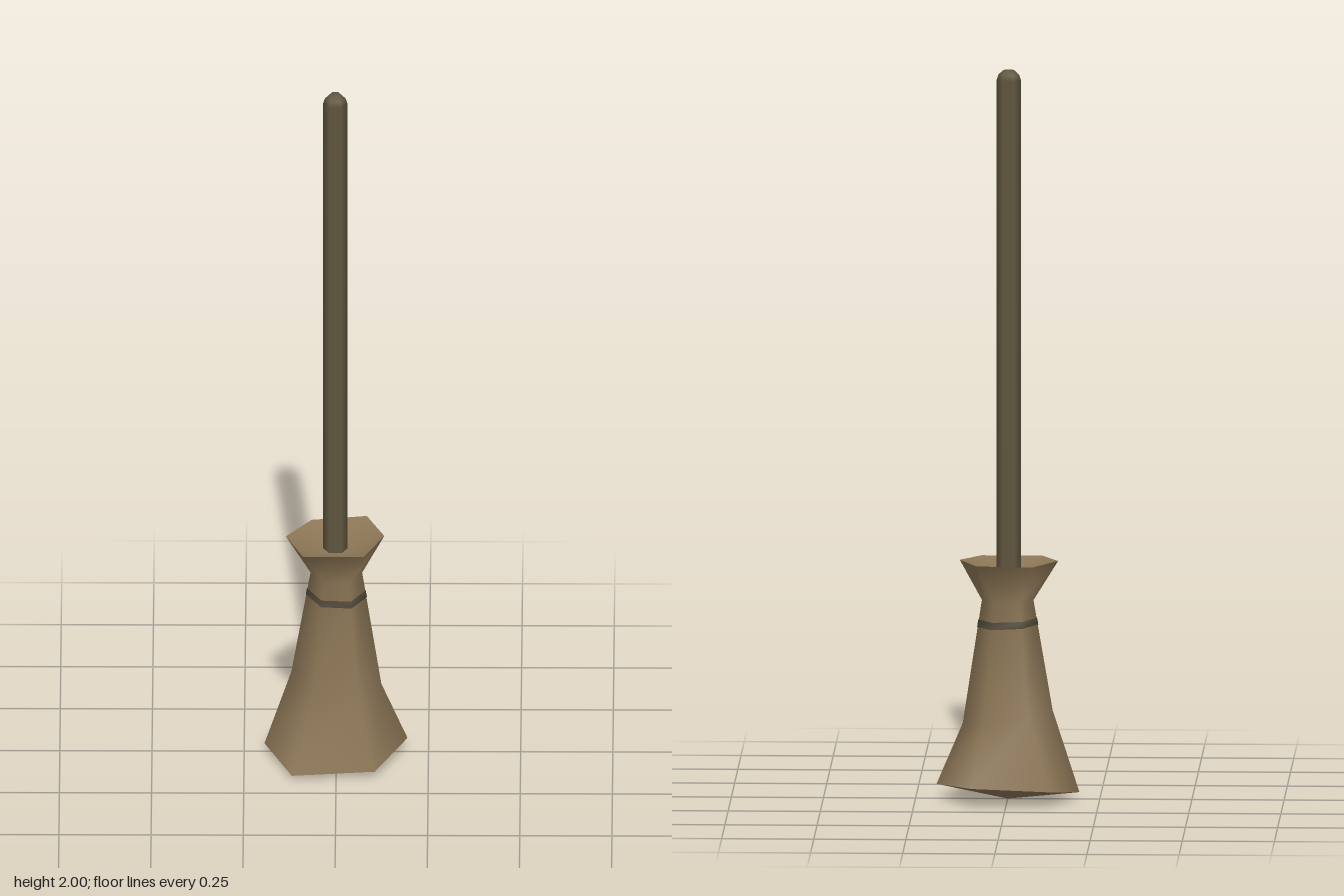
import * as THREE from 'three';

const mat = (name, color, side = THREE.FrontSide) => {
  const m = new THREE.MeshStandardMaterial({ color, side });
  m.name = name;
  return m;
};

// Skin a stack of six-sided rings, each a list of [x, y, z]
function loft(rings) {
  const n = rings[0].length, index = [];
  for (let i = 0; i < rings.length - 1; i++) {
    for (let j = 0; j < n; j++) {
      const a = i * n + j, b = i * n + (j + 1) % n;
      index.push(a, a + n, b, b, a + n, b + n);
    }
  }
  return build(rings.flat(), index);
}

// Close a ring with a fan to a centre point
function fan(ring, centre, up) {
  const n = ring.length, index = [];
  for (let j = 0; j < n; j++) {
    const k = (j + 1) % n;
    index.push(n, up ? k : j, up ? j : k);
  }
  return build([...ring, centre], index);
}

function build(points, index) {
  const g = new THREE.BufferGeometry();
  g.setAttribute('position', new THREE.Float32BufferAttribute(points.flat(), 3));
  g.setIndex(index);
  g.computeVertexNormals();
  return g;
}

// Regular six-sided ring; slope tilts it along x
const hexRing = (rx, rz, y, slope = 0) => Array.from({ length: 6 }, (_, j) => {
  const a = j * Math.PI / 3, x = rx * Math.cos(a);
  return [x, y + slope * x, rz * Math.sin(a) / Math.sin(Math.PI / 3)];
});

export function createModel() {
  const straw = mat('straw', 0x8c7656, THREE.DoubleSide);
  const wood = mat('dark wood', 0x61573f);
  const cord = mat('binding cord', 0x514a39, THREE.DoubleSide);

  const group = new THREE.Group();
  group.name = 'broom';
  const add = (name, geometry, material) => {
    const mesh = new THREE.Mesh(geometry, material);
    mesh.name = name;
    group.add(mesh);
    return mesh;
  };

  // Uneven hem and flared rim of the bristle bundle
  const hem = [[0.193, 0.04, -0.003], [0.105, 0.02, 0.16], [-0.12, 0.012, 0.17],
    [-0.195, 0.02, -0.008], [-0.122, 0.042, -0.162], [0.093, 0.052, -0.173]];
  const rim = [[0.13, 0.655, -0.003], [0.075, 0.65, 0.113], [-0.09, 0.65, 0.113],
    [-0.137, 0.653, -0.003], [-0.068, 0.65, -0.108], [0.082, 0.655, -0.122]];
  const waist = hexRing(0.122, 0.108, 0.225, -0.15);
  const neck = hexRing(0.07, 0.062, 0.545);

  add('bristles', loft([hem, waist, neck, rim]), straw);
  add('bristleTips', fan(hem, [0, 0, 0], false), straw);
  add('bristleTop', fan(rim, [0, 0.605, -0.005], true), straw);

  // Cord tied below the neck, following the taper
  const cordRing = (t) => waist.map((p, j) => {
    const q = neck[j];
    return [
      1.02 * (p[0] + (q[0] - p[0]) * t),
      p[1] + (q[1] - p[1]) * t,
      1.02 * (p[2] + (q[2] - p[2]) * t),
    ];
  });
  add('binding', loft([cordRing(0.78), cordRing(0.84)]), cord);

  // Six-sided handle with a rounded tip
  const profile = [[0.033, 0.58], [0.033, 1.972], [0.028, 1.987], [0.016, 1.999], [0, 2]]
    .map(([r, y]) => new THREE.Vector2(r, y));
  const handle = add('handle', new THREE.LatheGeometry(profile, 6, Math.PI / 6), wood);
  handle.position.set(-0.003, 0, -0.005);

  return group;
}
